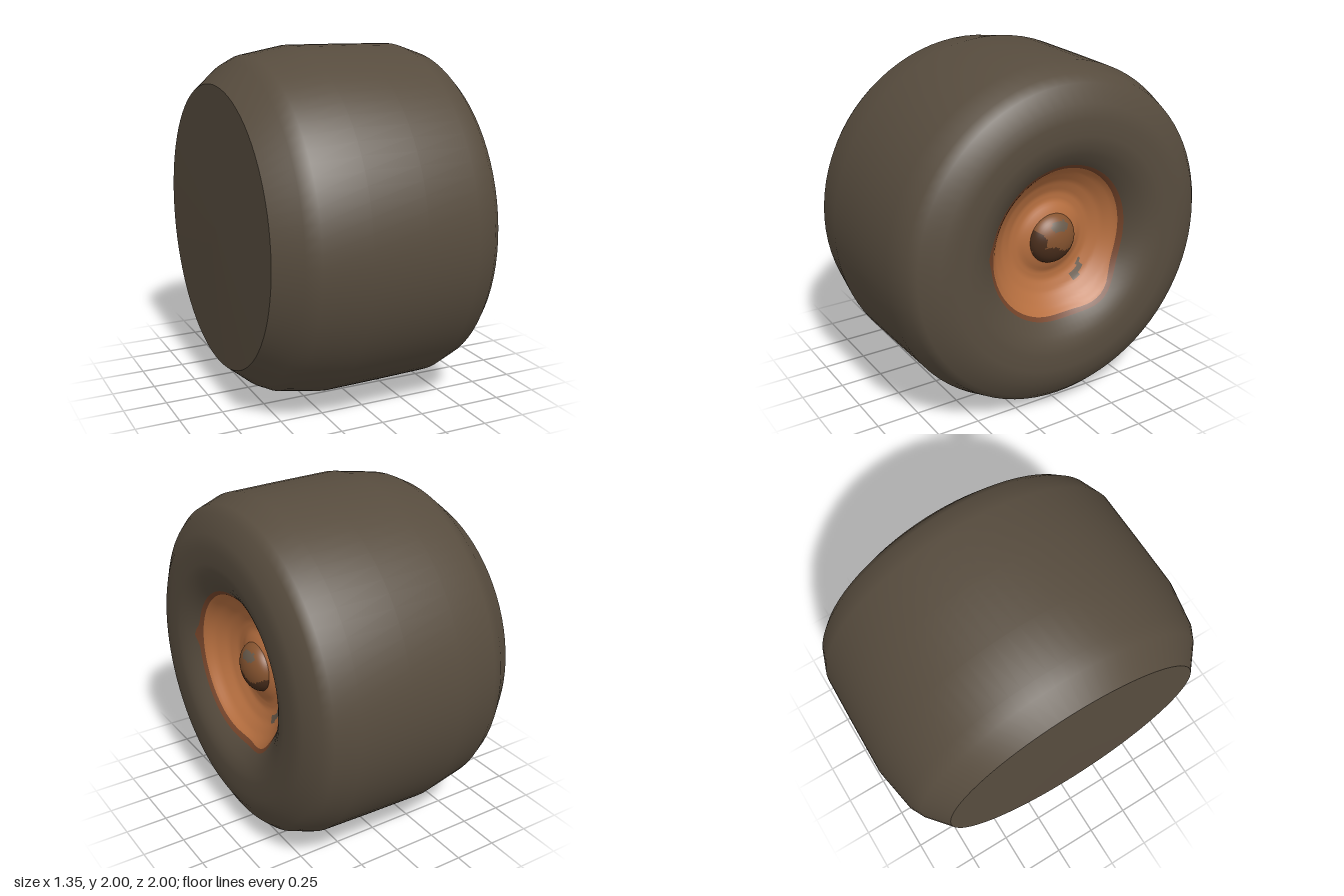
import * as THREE from 'three';

const SEG = 80;
const mat = (name, color) => Object.assign(new THREE.MeshStandardMaterial({ color }), { name });
const lerp = THREE.MathUtils.lerp;
const bump = (a, centre, width) => {
  const d = Math.atan2(Math.sin(a - centre), Math.cos(a - centre)) / width;
  return Math.exp(-d * d);
};

// Wheel-face depth (x) by radius: hub flare, dish, rim, sidewall
const FACE = [[0.13, 0.48], [0.17, 0.465], [0.21, 0.445], [0.26, 0.445], [0.33, 0.475],
  [0.4, 0.53], [0.44, 0.58], [0.5, 0.625], [0.56, 0.655], [0.63, 0.67], [0.72, 0.67]];
function faceX(r) {
  for (let i = 1; i < FACE.length; i++) {
    const [r0, x0] = FACE[i - 1], [r1, x1] = FACE[i];
    if (r <= r1) return lerp(x0, x1, (r - r0) / (r1 - r0));
  }
  return 0.67;
}

// Hand-painted, slightly uneven edge of the orange dish (angle 0 is up, turning to +z)
const dishEdge = a => 0.425 + 0.02 * Math.sin(a) + 0.01 * Math.cos(a)
  + 0.045 * bump(a, Math.PI + 0.6, 0.35) + 0.012 * bump(a, Math.PI - 0.3, 0.7);
const rimEdge = a => dishEdge(a) + 0.022 + 0.025 * bump(a, 1.48, 0.1);

// Surface of revolution about x; ring(a) gives [x, radius], pick(y, z, ring) the material index
function revolve(name, rings, materials, pick = () => 0) {
  const pos = [], lists = materials.map(() => []);
  const point = (i, j) => pos.slice((i * SEG + j) * 3, (i * SEG + j) * 3 + 3);
  for (const ring of rings) for (let j = 0; j < SEG; j++) {
    const a = j / SEG * Math.PI * 2, [x, r] = ring(a);
    pos.push(x, r * Math.cos(a), r * Math.sin(a));
  }
  for (let i = 0; i < rings.length - 1; i++) for (let j = 0; j < SEG; j++) {
    const k = (j + 1) % SEG, p = point(i, j), q = point(i + 1, k);
    const list = lists[pick((p[1] + q[1]) / 2, (p[2] + q[2]) / 2, i)];
    const a = i * SEG + j, b = i * SEG + k, c = a + SEG, d = b + SEG;
    list.push(a, c, d);
    if (Math.hypot(p[1], p[2]) > 1e-5) list.push(a, d, b);
  }
  const geo = new THREE.BufferGeometry();
  geo.setAttribute('position', new THREE.Float32BufferAttribute(pos, 3));
  geo.setIndex(lists.flat());
  let start = 0;
  lists.forEach((l, m) => { geo.addGroup(start, l.length, m); start += l.length; });
  geo.computeVertexNormals();
  const mesh = new THREE.Mesh(geo, materials);
  mesh.name = name;
  return mesh;
}

const inside = (y, z, cy, cz, ry, rz) => ((y - cy) / ry) ** 2 + ((z - cz) / rz) ** 2 < 1;

export function createModel() {
  const tyre = mat('tyre rubber', 0x574c3e);
  const orange = mat('dish orange', 0xb87040);
  const rust = mat('rim rust', 0x74442a);
  const hubBrown = mat('hub brown', 0x85532f);
  const hubDark = mat('hub dark brown', 0x4a2e1c);
  const grey = mat('worn grey', 0x67594a);

  const wheel = new THREE.Group();
  wheel.name = 'wheel';

  // Dish, painted rim and tyre as one smooth skin
  const rings = [];
  const DISH = 22;
  for (let i = 0; i <= DISH; i++) rings.push(a => {
    const r = lerp(0.13, dishEdge(a), i / DISH);
    return [faceX(r), r];
  });
  rings.push(a => [faceX(rimEdge(a)), rimEdge(a)]);
  for (let i = 1; i <= 5; i++) rings.push(a => {
    const r = lerp(rimEdge(a), 0.63, i / 5);
    return [faceX(r), r];
  });
  const tread = [[0.67, 0.72], [0.66, 0.8], [0.605, 0.9], [0.56, 0.942], [0.43, 0.988],
    [0.12, 0.995], [-0.2, 1], [-0.46, 0.955], [-0.535, 0.917], [-0.67, 0.805]];
  for (const p of tread) rings.push(() => p);
  wheel.add(revolve('tyreAndDish', rings, [tyre, orange, rust, grey], (y, z, i) => {
    if (i > DISH) return 0;
    if (i === DISH) return 2;
    const smudge = inside(y, z, -0.215, -0.195, 0.035, 0.018) || inside(y, z, -0.265, -0.17, 0.025, 0.025);
    return smudge ? 3 : 1;
  }));

  // Flat inner side
  wheel.add(revolve('backPlate', [[-0.67, 0.805], [-0.673, 0.4], [-0.675, 0]].map(p => () => p), [tyre]));

  // Domed hub cap with worn patches
  const dome = [];
  for (let i = 0; i <= 14; i++) {
    const t = i / 14 * Math.PI / 2;
    dome.push(() => [0.465 + 0.09 * Math.cos(t), 0.145 * Math.sin(t)]);
  }
  wheel.add(revolve('hubCap', dome, [hubBrown, hubDark, grey], (y, z) => {
    if (inside(y, z, 0.085, -0.012, 0.03, 0.056)) return 2;
    if (y < -0.04 + 0.02 * Math.sin(z * 30) || inside(y, z, 0.01, 0.12, 0.06, 0.045)) return 1;
    return 0;
  }));

  wheel.position.y = 1;
  const model = new THREE.Group();
  model.name = 'wheelModel';
  model.add(wheel);
  return model;
}
